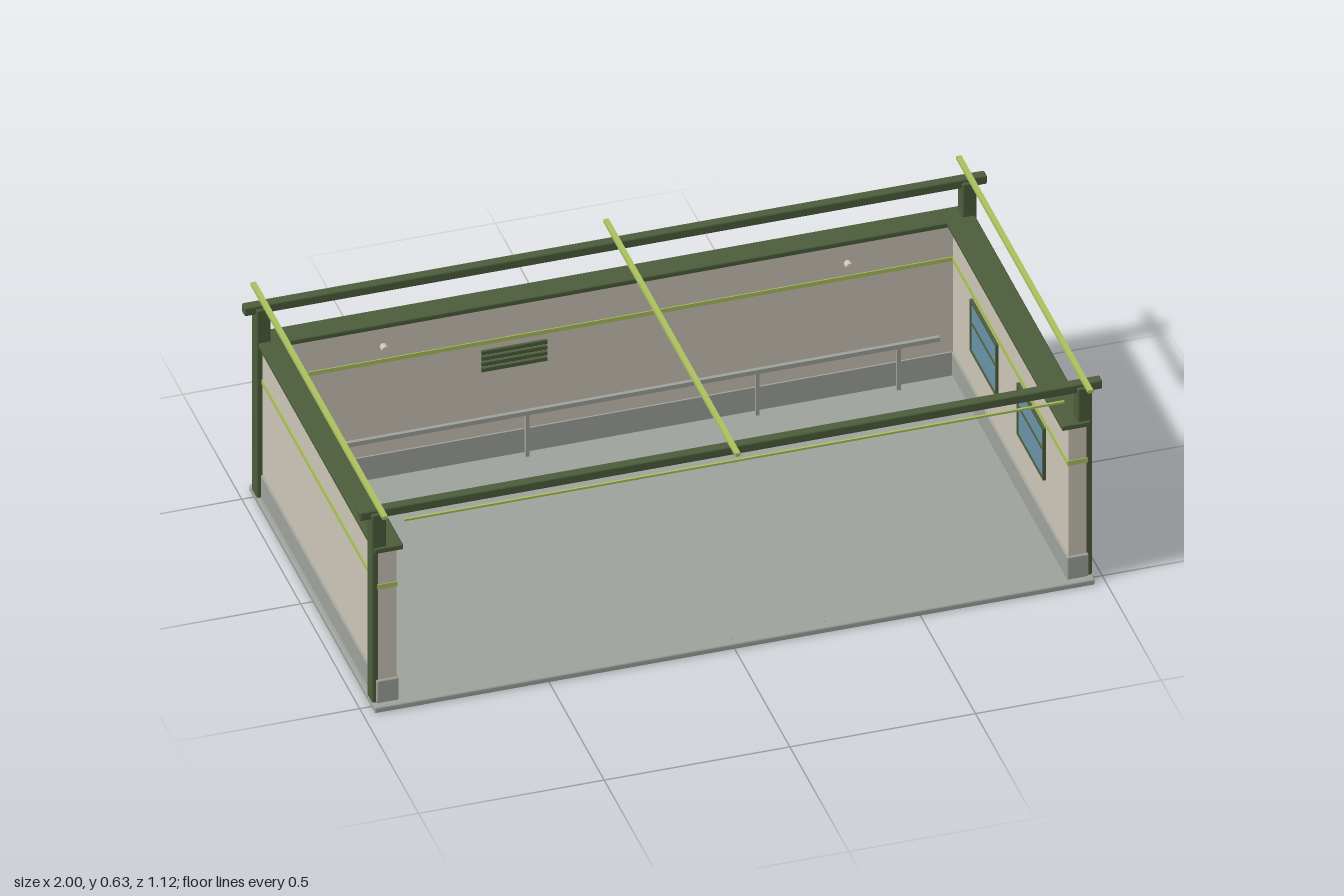
import * as THREE from 'three';
import { RoundedBoxGeometry } from 'three/addons/geometries/RoundedBoxGeometry.js';

const mat = (name, color) => {
  const m = new THREE.MeshStandardMaterial({ color });
  m.name = name;
  return m;
};

export function createModel() {
  const root = new THREE.Group();
  root.name = 'openPavilion';
  const wall = mat('warm beige', 0xcbc4b7);
  const green = mat('dark green', 0x4c5d3b);
  const grey = mat('concrete grey', 0x9ea29b);
  const lime = mat('lime', 0xabc05e);
  const glass = mat('window blue', 0x6893a8);

  // box given by its limits on each axis; bevel > 0 softens the edges
  const box = (name, material, [x0, x1], [y0, y1], [z0, z1], bevel = 0, parent = root) => {
    const size = [x1 - x0, y1 - y0, z1 - z0];
    const geo = bevel ? new RoundedBoxGeometry(...size, 2, bevel) : new THREE.BoxGeometry(...size);
    const mesh = new THREE.Mesh(geo, material);
    mesh.name = name;
    mesh.position.set((x0 + x1) / 2, (y0 + y1) / 2, (z0 + z1) / 2);
    parent.add(mesh);
    return mesh;
  };
  // x limits mirrored to side s
  const sx = (s, a, b) => (s > 0 ? [a, b] : [-b, -a]);

  // floor slab and its panel seams
  box('floorSlab', grey, [-0.97, 0.97], [0, 0.018], [-0.535, 0.535], 0.005);
  for (let i = -3; i <= 3; i++) {
    const x = i * 0.25;
    box('floorSeam', grey, [x - 0.002, x + 0.002], [0.0175, 0.0188], [-0.46, 0.51]);
  }

  // back wall with skirting, stripe and cap
  box('backWall', wall, [-0.95, 0.95], [0.018, 0.485], [-0.513, -0.465]);
  box('backSkirting', grey, [-0.9, 0.9], [0.018, 0.09], [-0.466, -0.46]);
  box('backStripeInside', lime, [-0.905, 0.905], [0.372, 0.384], [-0.466, -0.462]);
  box('backStripeOutside', lime, [-0.95, 0.95], [0.372, 0.384], [-0.517, -0.512]);
  box('backCap', green, [-0.965, 0.965], [0.482, 0.498], [-0.523, -0.455], 0.004);

  // side walls, mirrored
  for (const s of [-1, 1]) {
    box('sideWall', wall, sx(s, 0.905, 0.954), [0.018, 0.485], [-0.512, 0.512]);
    box('sideSkirting', grey, sx(s, 0.9, 0.959), [0.018, 0.088], [-0.518, 0.518], 0.004);
    box('sideStripe', lime, sx(s, 0.902, 0.957), [0.37, 0.384], [-0.514, 0.514]);
    box('sideCap', green, sx(s, 0.887, 0.965), [0.482, 0.498], [-0.518, 0.517], 0.004);

    // windows on the inner faces
    for (const z of [0.21, -0.19]) {
      const win = new THREE.Group();
      win.name = 'window';
      root.add(win);
      box('windowPane', glass, sx(s, 0.9, 0.906), [0.205, 0.355], [z - 0.105, z + 0.105], 0, win);
      const bar = (y, zz) => box('windowFrame', green, sx(s, 0.897, 0.906), y, zz, 0, win);
      bar([0.2, 0.207], [z - 0.11, z + 0.11]);
      bar([0.353, 0.36], [z - 0.11, z + 0.11]);
      bar([0.29, 0.295], [z - 0.105, z + 0.105]);
      for (const e of [-1, 1]) bar([0.2, 0.36], [z + e * 0.108 - 0.003, z + e * 0.108 + 0.003]);
    }
  }

  // corner posts and long top beams
  for (const z of [-0.489, 0.489]) {
    for (const s of [-1, 1]) {
      box('cornerPost', green, sx(s, 0.931, 0.97), [0.016, 0.6], [z - 0.022, z + 0.022], 0.005);
    }
    box('topBeam', green, [-1, 1], [0.582, 0.609], [z - 0.014, z + 0.014], 0.005);
  }

  // roof rods across the depth, and the slim front light strip
  for (const x of [-0.95, 0, 0.95]) {
    box('roofRod', lime, [x - 0.007, x + 0.007], [0.616, 0.626], [-0.56, 0.56]);
  }
  box('frontLightStrip', lime, [-0.89, 0.89], [0.577, 0.583], [0.522, 0.528]);

  // low guard rail along the back wall
  box('railBar', grey, [-0.865, 0.86], [0.147, 0.16], [-0.447, -0.436]);
  for (const x of [-0.75, -0.25, 0.37, 0.75]) {
    box('railPost', grey, [x - 0.005, x + 0.005], [0.018, 0.15], [-0.446, -0.437]);
  }

  // vent slats
  for (let i = 0; i < 4; i++) {
    const y = 0.291 + i * 0.0175;
    box('ventSlat', green, [-0.367, -0.19], [y, y + 0.011], [-0.466, -0.457]);
  }

  // round wall lamps
  for (const x of [-0.63, 0.62]) {
    const lamp = new THREE.Mesh(new THREE.CylinderGeometry(0.01, 0.01, 0.022, 16), wall);
    lamp.name = 'wallLamp';
    lamp.rotation.x = Math.PI / 2;
    lamp.position.set(x, 0.422, -0.456);
    root.add(lamp);
  }
  return root;
}
